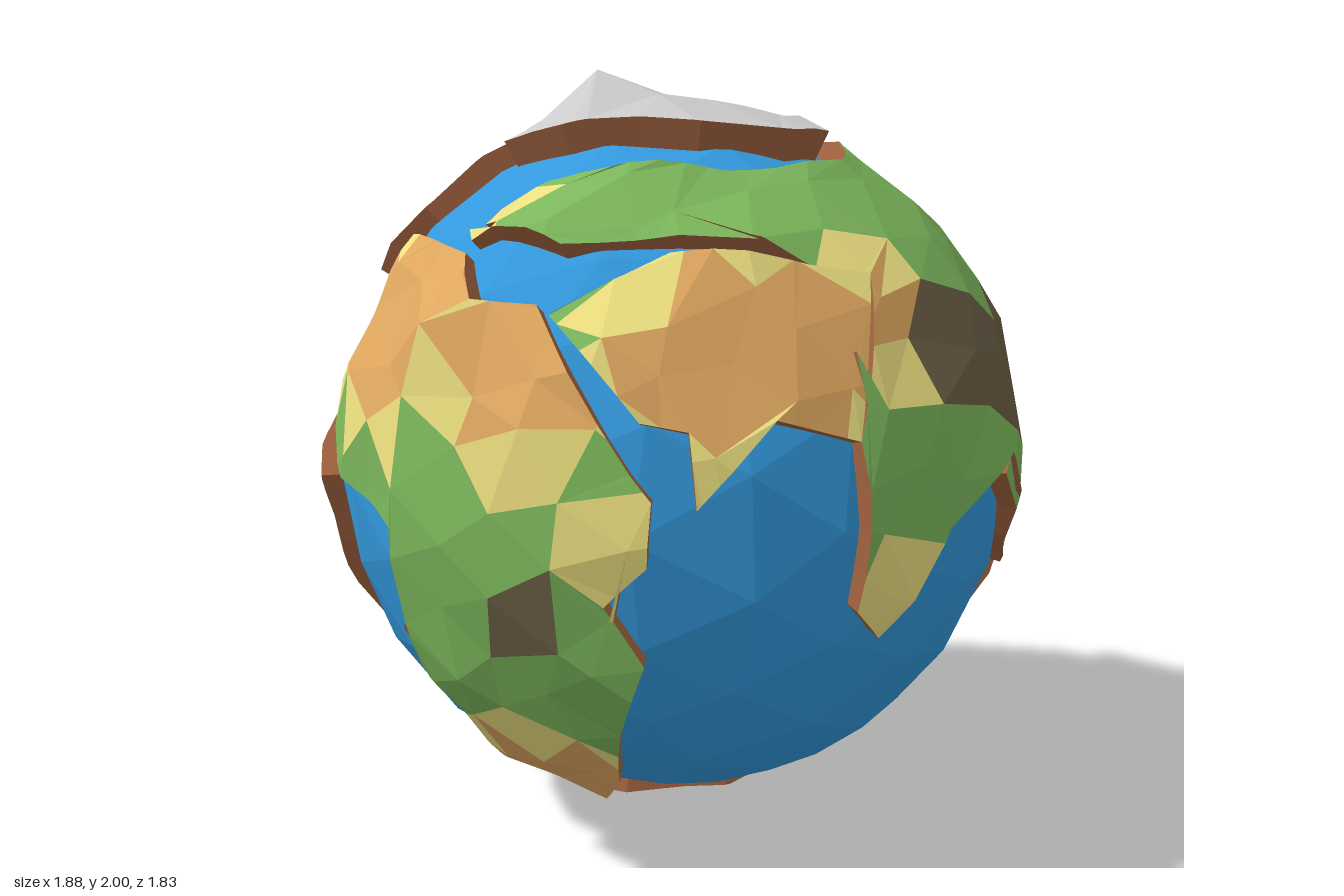
import * as THREE from 'three';

const CENTRE = new THREE.Vector3(0, 0.97, -0.035);
const OCEAN = 0.892, LAND = 0.931, CELL = 0.18;
const GRASS = 0x7db85c, SAND = 0xede080, DESERT = 0xe0a860, ROCK = 0x6b5e45, ICE = 0xbdbdbd, CLIFF = 0xa0623f;
const NAMES = { [GRASS]: 'Grass', [SAND]: 'Sand', [DESERT]: 'Desert', [ROCK]: 'Rock', [ICE]: 'Ice' };

// Unit direction of a surface point at offset (u, v) on the disc facing a given azimuth and elevation
function facing(azimuth, elevation) {
  const a = THREE.MathUtils.degToRad(azimuth), e = THREE.MathUtils.degToRad(elevation);
  const out = new THREE.Vector3(Math.cos(e) * Math.sin(a), Math.sin(e), Math.cos(e) * Math.cos(a));
  const right = new THREE.Vector3(Math.cos(a), 0, -Math.sin(a));
  const up = out.clone().cross(right);
  return (u, v) => new THREE.Vector3()
    .addScaledVector(right, u).addScaledVector(up, v)
    .addScaledVector(out, Math.sqrt(Math.max(0, 0.865 - u * u - v * v))).normalize();
}
const front = facing(0, 0), east = facing(90, 0), north = facing(0, 90), south = facing(0, -90);
const west = facing(215, 25), back = facing(140, -30);
const F = (x, y) => front(x, y - CENTRE.y);
const E = (z, y) => east(CENTRE.z - z, y - CENTRE.y);
const T = (x, z) => north(x, CENTRE.z - z);
const D = (x, z) => south(x, z - CENTRE.z);
const W = (u, v) => west(u + 0.02, v + 0.03);
const S = (u, v) => back(u - 0.02, v + 0.015);

const hash = (i, j) => {
  const s = Math.sin(i * 127.1 + j * 311.7) * 43758.5453;
  return s - Math.floor(s) - 0.5;
};

// Keep the part of a polygon lying inside a counter-clockwise triangle
function clip(polygon, triangle) {
  let points = polygon;
  triangle.forEach((a, k) => {
    const edge = triangle[(k + 1) % 3].clone().sub(a);
    const side = p => edge.cross(p.clone().sub(a));
    const kept = [];
    points.forEach((p, i) => {
      const q = points[(i + 1) % points.length], sp = side(p), sq = side(q);
      if (sp >= 0) kept.push(p);
      if (sp * sq < 0) kept.push(p.clone().lerp(q, sp / (sp - sq)));
    });
    points = kept;
  });
  return points.filter((p, i) => p.distanceTo(points[(i + 1) % points.length]) > 1e-5);
}

function facetMesh(name, points, color) {
  const geometry = new THREE.BufferGeometry().setFromPoints(points);
  geometry.computeVertexNormals();
  const mesh = new THREE.Mesh(geometry, new THREE.MeshStandardMaterial({ color, flatShading: true }));
  mesh.name = name;
  return mesh;
}

// A raised plate of land: coast outline, ground spots { at, size, ground } and an optional mountain peak
function buildLand(name, outline, { base = GRASS, spots = [], level = LAND, peak, height = 0.03 }) {
  const group = new THREE.Group();
  group.name = name;

  // Flatten the outline around its middle, keeping distances from the middle true
  const c = peak || outline.reduce((s, p) => s.add(p), new THREE.Vector3()).normalize();
  const e1 = new THREE.Vector3(0.31, 0.2, 0.93).cross(c).normalize(), e2 = c.clone().cross(e1);
  const flat = outline.map(p => new THREE.Vector2(p.dot(e1), p.dot(e2)).setLength(p.angleTo(c) * LAND));
  const lift = p => {
    const angle = p.length() / LAND, k = angle > 1e-9 ? Math.sin(angle) / p.length() : 0;
    return c.clone().multiplyScalar(Math.cos(angle)).addScaledVector(e1, p.x * k).addScaledVector(e2, p.y * k);
  };
  // Rough terrain, rising to the peak
  const raise = d => {
    const rough = 0.014 * Math.sin(13 * d.x + 2) * Math.sin(15 * d.y + 1) + 0.008 * Math.sin(17 * d.z + 9 * d.x);
    const rise = peak ? height * Math.exp(-((d.distanceTo(peak) / 0.13) ** 2)) : 0;
    return d.clone().multiplyScalar(level + rough + rise);
  };
  // Ground of the first spot hit; deserts also have a sandy fringe
  const groundAt = d => {
    const spot = spots.find(s => d.distanceTo(s.at) < s.size);
    if (spot) return spot.ground;
    return spots.some(s => s.ground === DESERT && d.distanceTo(s.at) < s.size + 0.08) ? SAND : base;
  };

  // Cut the outline into a jittered triangle grid
  const node = (i, j) => {
    const jitter = i || j ? 0.45 * CELL : 0;
    return new THREE.Vector2((i + j / 2) * CELL + hash(i, j) * jitter, j * 0.866 * CELL + hash(j + 40, i) * jitter);
  };
  const ground = {}, rim = new Map();
  const key = p => `${Math.round(p.x * 1e4)},${Math.round(p.y * 1e4)}`;
  const addFace = face => {
    const dirs = face.map(lift);
    const color = groundAt(dirs[0].clone().add(dirs[1]).add(dirs[2]).normalize());
    (ground[color] ??= []).push(...dirs.map(raise));
    face.forEach((p, k) => {
      const q = face[(k + 1) % 3];
      if (!rim.delete(`${key(q)}|${key(p)}`)) rim.set(`${key(p)}|${key(q)}`, [dirs[k], dirs[(k + 1) % 3]]);
    });
  };
  for (let i = -22; i < 22; i++) for (let j = -16; j < 16; j++) {
    const a = node(i, j), b = node(i + 1, j), d = node(i, j + 1), e = node(i + 1, j + 1);
    for (const triangle of [[a, b, d], [b, e, d]]) {
      const piece = clip(flat, triangle);
      if (piece.length < 3) continue;
      for (const ids of THREE.ShapeUtils.triangulateShape(piece, [])) {
        const face = ids.map(id => piece[id]), area = THREE.ShapeUtils.area(face);
        if (Math.abs(area) > 1e-7) addFace(area > 0 ? face : face.reverse());
      }
    }
  }
  for (const color in ground) group.add(facetMesh(name + NAMES[color], ground[color], Number(color)));

  // Earth cliffs drop from the open rim into the sea
  const cliff = [];
  for (const [a, b] of rim.values()) {
    const a1 = raise(a), b1 = raise(b), a0 = a.clone().multiplyScalar(0.86), b0 = b.clone().multiplyScalar(0.86);
    cliff.push(a1, a0, b0, a1, b0, b1);
  }
  group.add(facetMesh(name + 'Cliff', cliff, CLIFF));
  return group;
}

const rock = (at, size) => ({ at, size, ground: ROCK });
const sand = (at, size) => ({ at, size, ground: SAND });
const desert = (at, size) => ({ at, size, ground: DESERT });

// Faceted sea with slightly uneven corners
function buildOcean() {
  const sea = new THREE.IcosahedronGeometry(OCEAN, 3), pos = sea.attributes.position, v = new THREE.Vector3();
  for (let i = 0; i < pos.count; i++) {
    v.fromBufferAttribute(pos, i);
    v.x += 0.02 * Math.sin(17 * v.y + 5 * v.z);
    v.z += 0.02 * Math.sin(19 * v.x + 7 * v.y);
    v.setLength(OCEAN);
    pos.setXYZ(i, v.x, v.y, v.z);
  }
  sea.computeVertexNormals();
  const ocean = new THREE.Mesh(sea, new THREE.MeshStandardMaterial({ color: 0x3399dd, flatShading: true }));
  ocean.name = 'ocean';
  return ocean;
}

export function createModel() {
  const model = new THREE.Group();
  model.name = 'globe';
  const globe = new THREE.Group();
  globe.name = 'landAndSea';
  globe.position.copy(CENTRE);
  model.add(globe);
  globe.add(buildOcean());

  // Front continent
  globe.add(buildLand('frontContinent', [F(-.73, 1.39), F(-.63, 1.59), F(-.46, 1.58), F(-.4, 1.47), F(-.25, 1.48),
    F(-.02, 1.13), F(.03, 1.07), F(.02, .92), F(-.08, .82), F(.01, .68), F(-.08, .28), F(-.14, .15), F(-.39, .27),
    F(-.58, .65), F(-.61, .94), F(-.78, 1.01), F(-.82, 1.13)], {
    spots: [rock(F(-.28, .75), .09), desert(F(-.62, 1.42), .25), desert(F(-.28, 1.33), .2), desert(F(-.25, .28), .2),
      sand(F(-.04, .95), .13)],
    peak: F(-.5, 1.4),
  }));

  // Great continent wrapping the model's left side, and its dry front peninsula
  globe.add(buildLand('greatContinent', [T(-.06, -.45), T(.16, -.47), T(.41, -.2), T(.43, .2), T(.28, .35), T(.16, .41),
    T(-.1, .45), T(-.27, .4), T(-.45, .47), F(-.46, 1.63), F(-.2, 1.6), F(.25, 1.61), F(.36, 1.56), F(.5, 1.53),
    F(.49, 1.18), F(.49, .78), F(.54, .7), E(.56, .94), E(.31, 1.07), E(.16, .81), E(-.08, .68), E(-.16, .85),
    E(-.34, .87), E(-.34, 1.04), E(-.5, 1.1), E(-.47, 1.59), E(-.74, 1.46), T(.13, -.67)], {
    spots: [rock(E(.4, 1.35), .2), rock(E(.12, 1.29), .2), desert(E(-.12, 1.24), .13), desert(F(.55, 1.45), .12),
      sand(F(.55, .8), .15), sand(F(-.4, 1.68), .13), sand(T(.05, -.53), .14)],
    peak: E(.25, 1.45), height: .015,
  }));
  globe.add(buildLand('dryPeninsula', [F(.5, 1.53), F(.36, 1.56), F(.05, 1.59), F(-.22, 1.46), F(0, 1.24), F(.11, 1.22),
    F(.13, 1.05), F(.3, 1.24), F(.49, 1.18)], {
    spots: [sand(F(.13, 1.1), .1), sand(F(-.05, 1.5), .1), desert(F(.15, 1.4), .22), desert(F(.38, 1.38), .18)],
  }));
  globe.add(buildLand('tropicalIsland', [E(-.13, .68), E(-.22, .6), E(-.3, .48), E(-.14, .5)], {}));

  // Island continent, low at the back
  globe.add(buildLand('islandContinent', [S(-.37, -.22), S(-.2, .03), S(.02, .02), S(.09, .16), S(.37, .06),
    S(.47, -.12), S(.37, -.25), S(.03, -.33), S(-.14, -.53), S(-.36, -.35)], {
    spots: [rock(S(.13, -.2), .09), sand(S(-.1, -.15), .23)],
  }));

  // Two western continents meeting at a land bridge
  globe.add(buildLand('northWestContinent', [T(-.1, -.21), T(-.25, -.18), T(-.42, -.03), T(-.63, .1), W(.66, .27),
    W(.46, .07), W(.28, .24), W(.16, .16), W(.21, -.1), W(.12, -.1), W(.08, .05), W(-.03, .21), W(-.2, .41),
    W(-.09, .58)], {
    spots: [sand(W(0, .7), .1), sand(W(.09, .48), .14), rock(W(-.1, .43), .23), rock(W(.03, .18), .12),
      sand(W(.17, .27), .17)],
    peak: T(-.13, -.28), height: .065,
  }));
  globe.add(buildLand('southWestContinent', [W(.12, -.1), W(.21, -.1), W(.63, -.07), W(.86, -.17), W(.81, -.38),
    W(.66, -.64), W(.4, -.83), W(.28, -.88), W(.32, -.66), W(.16, -.38), W(.11, -.24)], {
    spots: [rock(W(.17, -.32), .14), rock(W(.34, -.62), .16), sand(W(.3, -.12), .15)],
  }));

  // Polar ice
  globe.add(buildLand('northIceCap', [T(-.4, .15), T(-.31, -.05), T(-.06, -.2), T(.25, -.2), T(.39, .03), T(.31, .19),
    T(.09, .27), T(-.25, .21)], { base: ICE, level: .96, peak: T(-.17, .03), height: .09 }));
  globe.add(buildLand('southIceCap', [S(-.23, -.59), S(.06, -.69), S(.29, -.5), D(-.34, -.04), D(-.12, .07),
    D(.15, .04)], { base: ICE, peak: D(-.12, -.03), height: .06 }));
  return model;
}
